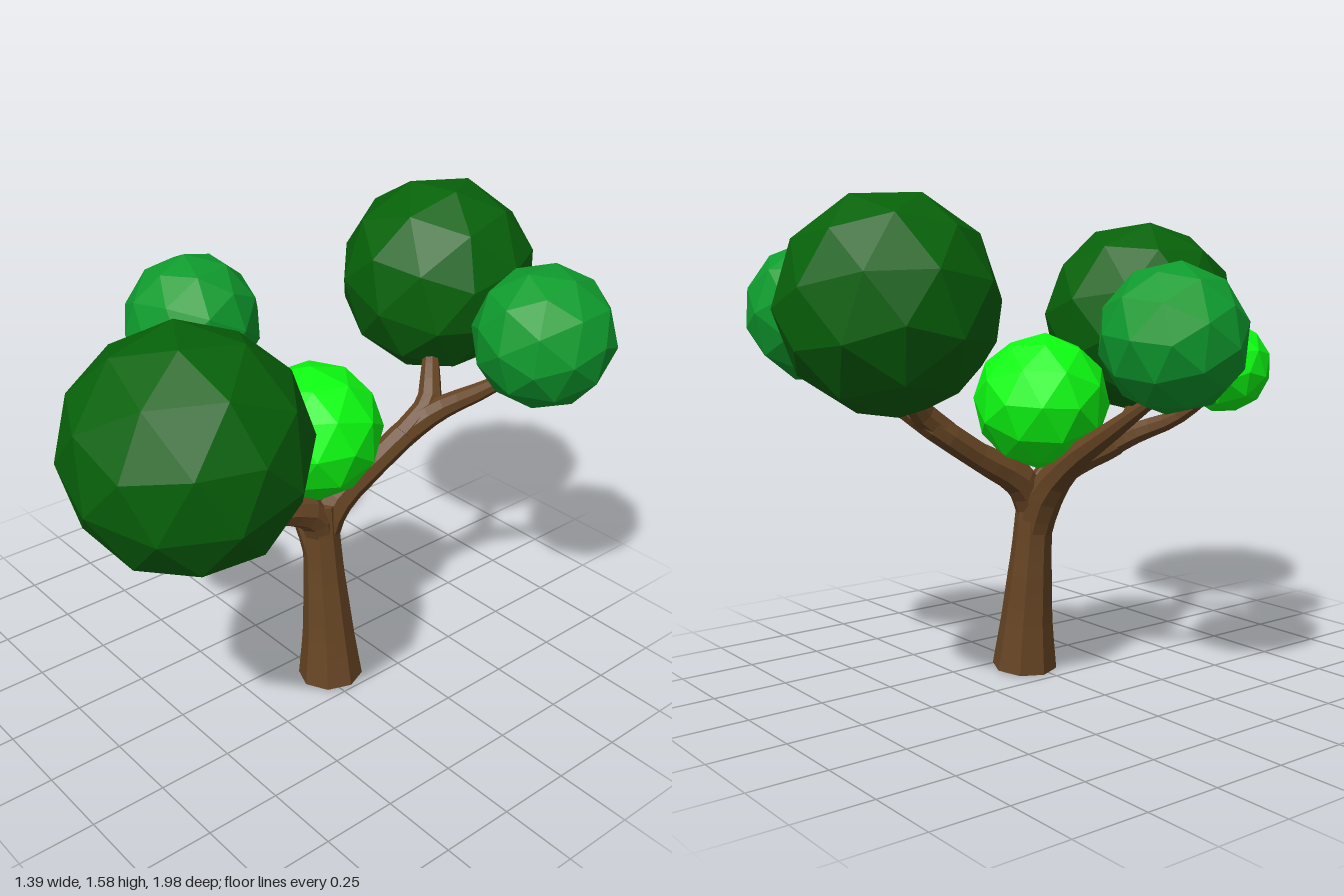
import * as THREE from 'three';

const bark = new THREE.MeshStandardMaterial({ color: 0x674524, flatShading: true });
const darkLeaf = new THREE.MeshStandardMaterial({ color: 0x07620a, flatShading: true });
const midLeaf = new THREE.MeshStandardMaterial({ color: 0x0f9c2e, flatShading: true });
const brightLeaf = new THREE.MeshStandardMaterial({ color: 0x0dff12, flatShading: true });

// Eight-sided limb through points [x, y, z, radius], tapering between them, closed at both ends
function limb(name, points, steps = 10, sides = 8) {
  const curve = new THREE.CatmullRomCurve3(points.map(([x, y, z]) => new THREE.Vector3(x, y, z)));
  const geometry = new THREE.TubeGeometry(curve, steps, 1, sides, false);
  const pos = geometry.attributes.position;
  const v = new THREE.Vector3();
  for (let i = 0; i <= steps; i++) {
    const centre = curve.getPointAt(i / steps);
    const k = curve.getUtoTmapping(i / steps) * (points.length - 1);
    const a = Math.min(Math.floor(k), points.length - 2);
    const radius = THREE.MathUtils.lerp(points[a][3], points[a + 1][3], k - a);
    for (let j = 0; j <= sides; j++) {
      const n = i * (sides + 1) + j;
      v.fromBufferAttribute(pos, n).sub(centre).multiplyScalar(radius).add(centre);
      pos.setXYZ(n, v.x, v.y, v.z);
    }
  }
  // End caps as fans over the first and last rings
  const index = Array.from(geometry.index.array);
  const last = steps * (sides + 1);
  for (let j = 1; j < sides - 1; j++) index.push(0, j, j + 1, last, last + j + 1, last + j);
  geometry.setIndex(index);
  geometry.computeVertexNormals();
  const mesh = new THREE.Mesh(geometry, bark);
  mesh.name = name;
  return mesh;
}

// Faceted ball of leaves
function foliage(name, material, x, y, z, radius, turn) {
  const mesh = new THREE.Mesh(new THREE.IcosahedronGeometry(radius, 1), material);
  mesh.position.set(x, y, z);
  mesh.rotation.set(turn, turn * 1.7, turn * 0.6);
  mesh.name = name;
  return mesh;
}

export function createModel() {
  const tree = new THREE.Group();
  tree.name = 'tree';

  // Trunk with a flared foot
  tree.add(limb('trunk', [
    [0.143, 0.008, -0.027, 0.11], [0.13, 0.18, -0.026, 0.088], [0.108, 0.42, -0.022, 0.068],
    [0.094, 0.57, -0.02, 0.062], [0.088, 0.67, -0.02, 0.058]], 12));

  // Main branches
  tree.add(
    limb('sideBranch', [
      [0.105, 0.46, -0.02, 0.06], [0.05, 0.61, -0.012, 0.064], [-0.07, 0.735, 0.0, 0.048],
      [-0.24, 0.85, 0.02, 0.035], [-0.45, 0.99, 0.05, 0.016]]),
    limb('frontBranch', [
      [0.1, 0.5, -0.03, 0.05], [0.092, 0.64, 0.015, 0.062], [0.09, 0.7, 0.16, 0.046],
      [0.1, 0.75, 0.34, 0.045], [0.17, 0.8, 0.46, 0.037], [0.29, 0.87, 0.6, 0.018]], 14),
    limb('backBranch', [
      [0.1, 0.5, -0.01, 0.05], [0.098, 0.65, -0.065, 0.062], [0.115, 0.755, -0.23, 0.046],
      [0.145, 0.86, -0.38, 0.046], [0.2, 0.925, -0.455, 0.039], [0.3, 1.0, -0.52, 0.03],
      [0.42, 1.1, -0.59, 0.016]], 16));

  // Forks off the front and back branches
  tree.add(
    limb('frontFork', [
      [0.095, 0.74, 0.3, 0.044], [0.06, 0.785, 0.4, 0.04], [-0.05, 0.84, 0.48, 0.03],
      [-0.2, 0.95, 0.54, 0.015]], 8),
    limb('backFork', [
      [0.138, 0.835, -0.34, 0.045], [0.145, 0.92, -0.44, 0.043], [0.1, 1.0, -0.49, 0.034],
      [0.0, 1.13, -0.58, 0.016]], 8));

  // Leaf clusters
  tree.add(
    foliage('frontFoliage', darkLeaf, 0.296, 1.172, 0.633, 0.357, 0.4),
    foliage('backFoliage', darkLeaf, -0.076, 1.262, -0.676, 0.333, 1.1),
    foliage('rightFoliage', midLeaf, -0.47, 1.155, 0.074, 0.233, 0.7),
    foliage('leftBackFoliage', midLeaf, 0.465, 1.222, -0.615, 0.23, 1.9),
    foliage('centreFoliage', brightLeaf, 0.06, 0.926, -0.015, 0.225, 2.5),
    foliage('smallFoliage', brightLeaf, -0.225, 1.03, 0.545, 0.157, 0.2));
  return tree;
}
